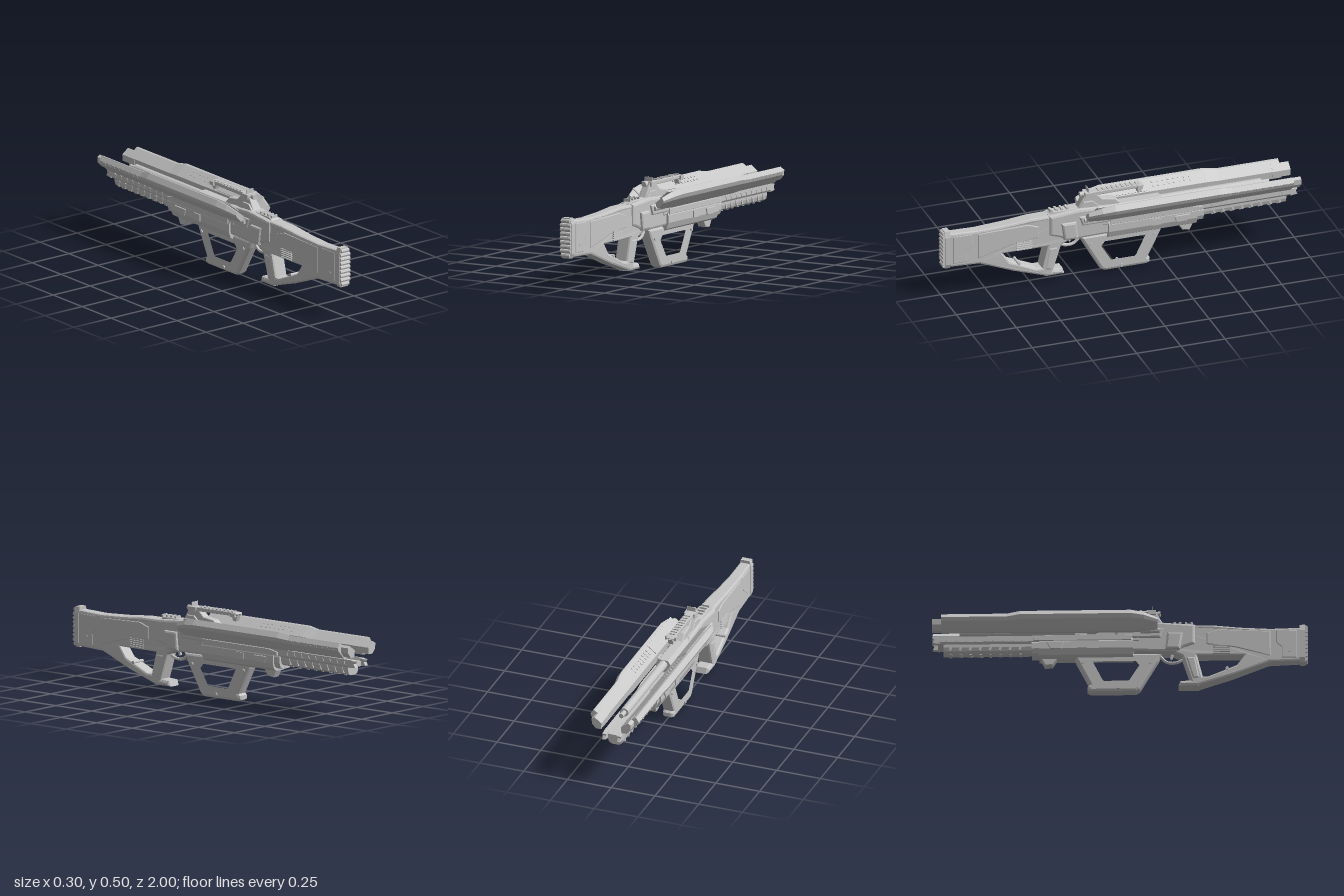
import * as THREE from 'three';

const metal = new THREE.MeshStandardMaterial({ color: 0xc6c6c6, flatShading: true });

export function createModel() {
  const model = new THREE.Group();

  const add = (name, geo) => {
    const mesh = new THREE.Mesh(geo, metal);
    mesh.name = name;
    model.add(mesh);
    return mesh;
  };
  const shapeOf = (pts) => new THREE.Shape(pts.map((p) => new THREE.Vector2(p[0], p[1])));
  const box = (name, w, h, d, x, y, z, rz = 0, rx = 0) => {
    const m = add(name, new THREE.BoxGeometry(w, h, d));
    m.position.set(x, y, z);
    m.rotation.set(rx, 0, rz);
    return m;
  };
  // Side outline in (z, y), centred on x with a bevelled edge
  const side = (name, pts, width, bevel = 0.008, holes = [], cx = 0) => {
    const shape = shapeOf(pts);
    holes.forEach((h) => shape.holes.push(new THREE.Path(h.map((p) => new THREE.Vector2(p[0], p[1])))));
    const geo = new THREE.ExtrudeGeometry(shape, {
      depth: width - 2 * bevel, bevelEnabled: bevel > 0, bevelSize: bevel,
      bevelThickness: bevel, bevelOffset: -bevel, bevelSegments: 2,
    });
    geo.translate(0, 0, -(width - 2 * bevel) / 2).rotateY(-Math.PI / 2).translate(cx, 0, 0);
    return add(name, geo);
  };
  // Cross-section in (x, y) pulled along z
  const prism = (name, pts, z0, z1) => {
    const geo = new THREE.ExtrudeGeometry(shapeOf(pts), { depth: z1 - z0, bevelEnabled: false });
    return add(name, geo.translate(0, 0, z0));
  };
  const mirrored = (half) => [...half, ...half.map(([x, y]) => [-x, y]).reverse()];
  // Cylinder along z or x
  const rod = (name, r, len, x, y, z, axis = 'z', sides = 16) => {
    const m = add(name, new THREE.CylinderGeometry(r, r, len, sides));
    if (axis === 'z') m.rotation.x = Math.PI / 2; else m.rotation.z = Math.PI / 2;
    m.position.set(x, y, z);
    return m;
  };
  // Closed loft of a cross-section (counter-clockwise), scaled about an anchor at each z (descending)
  const loft = (name, pts, anchor, stations) => {
    const pos = [], idx = [], n = pts.length;
    stations.forEach(([z, s]) => pts.forEach(([x, y]) =>
      pos.push(anchor[0] + (x - anchor[0]) * s, anchor[1] + (y - anchor[1]) * s, z)));
    for (let i = 0; i < stations.length - 1; i++)
      for (let j = 0; j < n; j++) {
        const a = i * n + j, b = i * n + (j + 1) % n;
        idx.push(a, a + n, b, b, a + n, b + n);
      }
    const last = (stations.length - 1) * n;
    THREE.ShapeUtils.triangulateShape(pts.map((p) => new THREE.Vector2(...p)), [])
      .forEach(([a, b, c]) => idx.push(a, b, c, last + c, last + b, last + a));
    const geo = new THREE.BufferGeometry();
    geo.setAttribute('position', new THREE.Float32BufferAttribute(pos, 3));
    geo.setIndex(idx);
    const flat = geo.toNonIndexed();
    flat.computeVertexNormals();
    return add(name, flat);
  };

  // Stock with pistol grip, tapered towards the butt
  const taper = (mesh) => {
    const p = mesh.geometry.attributes.position;
    for (let i = 0; i < p.count; i++) {
      const t = THREE.MathUtils.clamp((p.getZ(i) - 0.45) / 0.5, 0, 1);
      p.setX(i, p.getX(i) * (1 - 0.28 * t));
    }
    mesh.geometry.computeVertexNormals();
  };
  taper(side('stock', [[0.97, 0.368], [0.8, 0.362], [0.64, 0.37], [0.5, 0.383], [0.25, 0.385], [0.25, 0.24],
    [0.33, 0.2], [0.34, 0.17], [0.375, 0.06], [0.32, 0.055], [0.315, 0.03], [0.41, 0.028], [0.6, 0.09],
    [0.79, 0.165], [0.97, 0.172]], 0.084, 0.012,
  [[[0.66, 0.205], [0.41, 0.205], [0.44, 0.085], [0.47, 0.085], [0.62, 0.15]]]));
  taper(side('stockSidePanel', [[0.8, 0.345], [0.52, 0.355], [0.46, 0.335], [0.46, 0.27], [0.62, 0.25], [0.8, 0.2]], 0.09, 0.004));
  taper(side('stockRearPanel', [[0.94, 0.35], [0.83, 0.35], [0.83, 0.28], [0.86, 0.25], [0.86, 0.19], [0.94, 0.19]], 0.09, 0.004));
  side('gripWrap', [[0.405, 0.2], [0.345, 0.2], [0.385, 0.06], [0.43, 0.07]], 0.09, 0.014);
  side('gripBase', [[0.42, 0.028], [0.31, 0.028], [0.32, 0.06], [0.41, 0.065]], 0.078, 0.012);
  box('stockTube', 0.06, 0.045, 0.25, 0, 0.235, 0.52);
  for (let i = 0; i < 5; i++) box('stockVent', 0.092, 0.006, 0.09, 0, 0.216 + i * 0.011, 0.54);

  // Ribbed butt pad
  const pad = mirrored([[0.024, 0.166], [0.034, 0.19], [0.034, 0.35], [0.025, 0.384]]);
  prism('buttPad', pad, 0.955, 0.985);
  for (let i = 0; i < 9; i++) {
    const w = i === 0 || i === 8 ? 0.052 : 0.064;
    const rib = box('buttPadRib', w, 0.014, 0.02, 0, 0.183 + i * 0.0232, 0.988);
    rib.geometry = new THREE.CylinderGeometry(0.011, 0.011, w, 8).rotateZ(Math.PI / 2);
  }

  // Receiver, its top cover and side plates
  side('receiver', [[0.4, 0.385], [0.22, 0.4], [0.05, 0.39], [0.0, 0.34], [0.0, 0.23], [0.3, 0.225], [0.34, 0.25], [0.4, 0.27]], 0.1, 0.014);
  side('receiverTop', [[0.4, 0.38], [0.37, 0.4], [0.24, 0.4], [0.2, 0.38]], 0.05, 0.006);
  side('receiverCollar', [[0.335, 0.335], [0.25, 0.335], [0.24, 0.235], [0.32, 0.235]], 0.126, 0.012);
  side('receiverPlate', [[0.235, 0.36], [-0.02, 0.36], [-0.02, 0.305], [0.215, 0.305]], 0.12, 0.008);
  for (const z of [0.38, 0.35, 0.32, 0.29]) box('topRib', 0.04, 0.014, 0.012, 0, 0.403, z);

  // Trigger and its guard
  const guardPath = new THREE.CatmullRomCurve3([[0.34, 0.2], [0.3, 0.18], [0.25, 0.182], [0.215, 0.215], [0.2, 0.24]]
    .map(([z, y]) => new THREE.Vector3(0, y, z)));
  add('triggerGuard', new THREE.TubeGeometry(guardPath, 16, 0.009, 8));
  side('trigger', [[0.29, 0.235], [0.27, 0.235], [0.265, 0.2], [0.275, 0.195]], 0.014, 0.002);

  // Fore grip loop
  side('foreGrip', [[0.22, 0.225], [0.2, 0.18], [0.105, 0.015], [0.085, 0.002], [-0.155, 0.002], [-0.175, 0.012],
    [-0.175, 0.035], [-0.165, 0.045], [-0.235, 0.185], [-0.25, 0.225]], 0.066, 0.016,
  [[[0.09, 0.195], [0.122, 0.155], [0.06, 0.055], [0.045, 0.048], [-0.09, 0.048], [-0.105, 0.058], [-0.165, 0.18], [-0.16, 0.195]]]);
  for (const [z, y] of [[0.16, 0.17], [-0.01, 0.025], [-0.2, 0.175], [0.57, 0.13], [0.43, 0.06], [0.9, 0.23]])
    rod('screw', 0.009, z > 0.8 ? 0.072 : 0.08, 0, y, z, 'x', 10);

  // Handguard and the vented tube below the rail
  prism('handguard', mirrored([[0.03, 0.2], [0.05, 0.212], [0.062, 0.245], [0.062, 0.285], [0.052, 0.31]]), -0.43, 0.07);
  prism('handguardNose', mirrored([[0.026, 0.215], [0.044, 0.225], [0.054, 0.25], [0.054, 0.28], [0.045, 0.3]]), -0.47, -0.43);
  side('handguardFoot', [[-0.33, 0.21], [-0.36, 0.165], [-0.4, 0.16], [-0.425, 0.21]], 0.05, 0.006);
  prism('lowerTube', mirrored([[0.02, 0.235], [0.036, 0.245], [0.042, 0.265], [0.042, 0.285]]), -0.94, -0.46);
  for (let i = 0; i < 8; i++) {
    for (const s of [1, -1]) box('tubeRib', 0.008, 0.034, 0.012, s * 0.041, 0.262, -0.53 - i * 0.053, 0, 0.35);
    box('tubeBottomRib', 0.04, 0.008, 0.014, 0, 0.235, -0.53 - i * 0.053);
  }

  // Long open rail with forked tip
  prism('rail', mirrored([[0.046, 0.282], [0.053, 0.292], [0.053, 0.324], [0.044, 0.324], [0.038, 0.308]]), -0.97, 0.1);
  for (const s of [1, -1]) {
    side('railTip', [[-0.96, 0.324], [-1, 0.32], [-0.99, 0.305], [-1, 0.286], [-0.96, 0.28]], 0.022, 0.003, [], s * 0.042);
    side('railSidePlate', [[0.06, 0.322], [-0.4, 0.322], [-0.46, 0.31], [-0.46, 0.29], [0.06, 0.29]], 0.01, 0.002, [], s * 0.06);
    side('latch', [[-0.3, 0.278], [-0.39, 0.278], [-0.37, 0.24], [-0.31, 0.24]], 0.012, 0.003, [], s * 0.062);
    box('sideBlock', 0.012, 0.036, 0.05, s * 0.062, 0.262, -0.2);
    for (let i = 0; i < 9; i++) box('railRib', 0.006, 0.022, 0.014, s * 0.053, 0.305, -0.52 - i * 0.05, 0, 0.4);
  }

  // Barrel between the wings
  rod('barrel', 0.024, 0.62, 0, 0.362, -0.5);
  rod('barrelTip', 0.013, 0.05, 0, 0.362, -0.83);
  prism('barrelHousing', mirrored([[0.03, 0.315], [0.042, 0.33], [0.042, 0.365], [0.025, 0.388]]), -0.24, 0.05);

  // V-shaped wing shrouds
  const wing = [[0.06, 0.334], [0.086, 0.331], [0.1, 0.344], [0.14, 0.384], [0.149, 0.407], [0.129, 0.435], [0.117, 0.431], [0.056, 0.384]];
  const nose = [[0.058, 0.345], [0.088, 0.345], [0.11, 0.37], [0.112, 0.4], [0.095, 0.41], [0.056, 0.38]];
  for (const s of [1, -1]) {
    const flip = (pts) => (s > 0 ? pts : pts.map(([x, y]) => [-x, y]).reverse());
    const anchor = [s * 0.075, 0.355];
    loft('wing', flip(wing), anchor, [[0.2, 0.55], [0.13, 0.86], [0.06, 1], [-0.53, 1], [-0.6, 0.86], [-0.95, 0.86]]);
    prism('wingNose', flip(nose), -1, -0.9);
    // upper face plates, dimples and vents
    const tilt = s * Math.atan2(0.047, 0.061);
    box('wingUpperPlate', 0.066, 0.006, 0.34, s * 0.087, 0.408, -0.02, tilt);
    for (let i = 0; i < 8; i++)
      for (const [x, y] of [[0.082, 0.404], [0.1, 0.418]]) {
        const dot = rod('wingDimple', 0.006, 0.006, s * x, y, -0.23 - i * 0.03, 'z', 8);
        dot.rotation.set(0, 0, tilt);
      }
    for (let i = 0; i < 8; i++) box('wingVent', 0.006, 0.016, 0.02, s * 0.134, 0.392, -0.63 - i * 0.04, s * -0.35);
    // rear end cover with two screws
    box('wingEndCover', 0.055, 0.024, 0.03, s * 0.104, 0.388, 0.13, s * 0.7);
    for (const d of [-0.015, 0.015]) rod('wingScrew', 0.006, 0.008, s * (0.104 + d * 0.76), 0.388 + d * 0.64, 0.148, 'z', 8);
    // arms to the receiver
    for (const z of [0.13, 0.0, -0.15]) box('wingArm', 0.05, 0.02, 0.05, s * 0.055, 0.345, z, s * 0.3);
    rod('hinge', 0.013, 0.1, s * 0.062, 0.34, 0.16, 'z', 10);
  }

  // Sight tower, rail and glass
  side('sightTower', [[0.235, 0.39], [0.19, 0.47], [0.13, 0.47], [0.09, 0.43], [0.02, 0.42], [-0.02, 0.38]], 0.046, 0.006);
  for (const s of [1, -1]) side('towerBrace', [[0.24, 0.385], [0.2, 0.43], [0.15, 0.43], [0.1, 0.385]], 0.012, 0.003, [], s * 0.026);
  side('sightRail', [[0.195, 0.462], [0.19, 0.478], [-0.13, 0.478], [-0.145, 0.47], [-0.13, 0.458], [0.19, 0.455]], 0.044, 0.004);
  for (const s of [1, -1]) {
    box('sightEar', 0.012, 0.024, 0.05, s * 0.025, 0.465, 0.165);
    box('sightFrontEar', 0.012, 0.02, 0.03, s * 0.025, 0.465, -0.12);
  }
  for (let i = 0; i < 9; i++) box('sightRib', 0.036, 0.006, 0.012, 0, 0.48, 0.11 - i * 0.027);
  side('sightFrontPost', [[-0.1, 0.46], [-0.14, 0.46], [-0.13, 0.43], [-0.11, 0.43]], 0.03, 0.004);
  rod('sightLens', 0.014, 0.03, 0, 0.466, 0.2, 'z', 12);
  box('sightGlass', 0.048, 0.026, 0.003, 0, 0.489, 0.17);

  return model;
}
